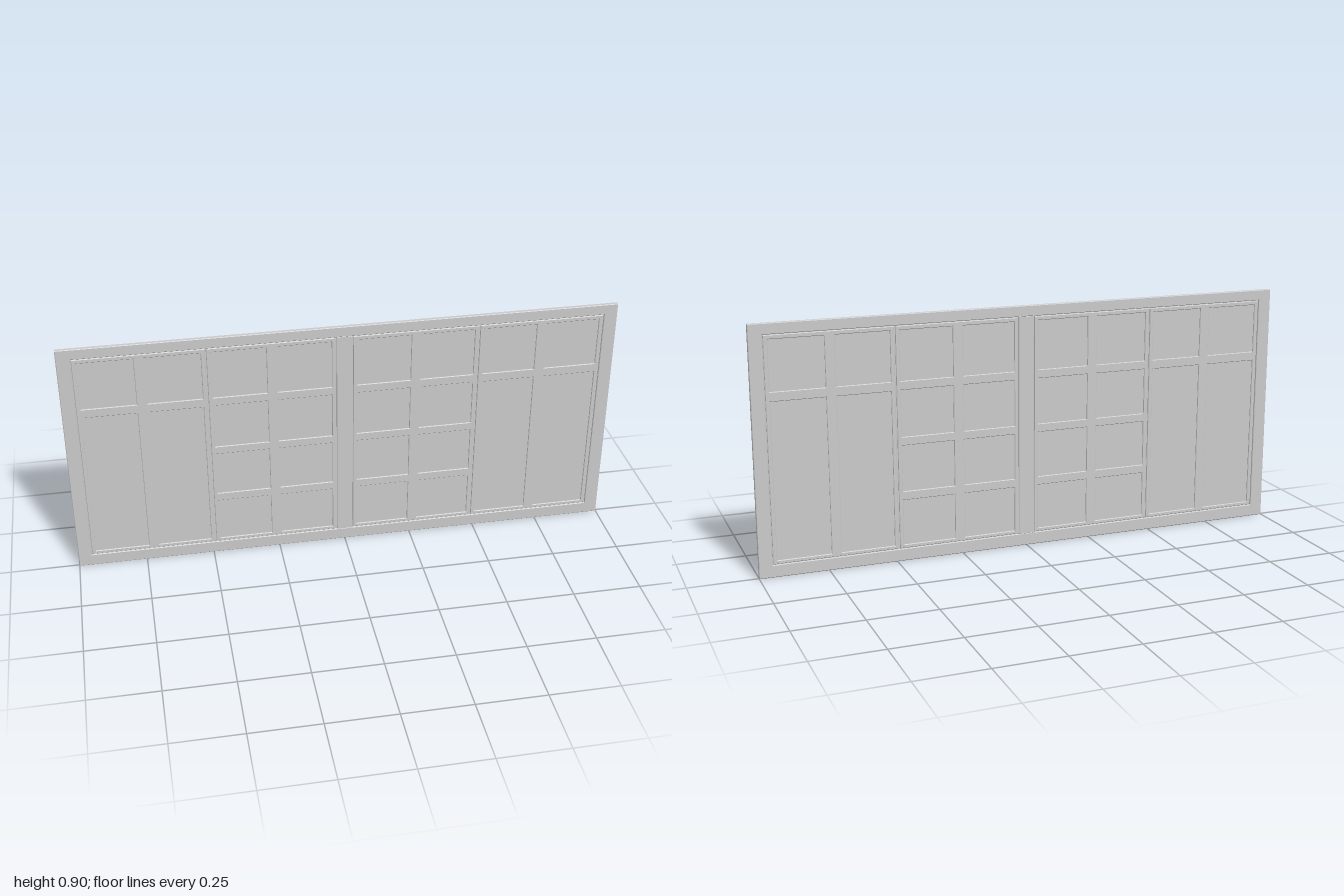
import * as THREE from 'three';

const material = new THREE.MeshStandardMaterial({ color: 0xcccccc, flatShading: true });

function trace(path, [x0, x1, y0, y1]) {
  path.moveTo(x0, y0);
  path.lineTo(x1, y0);
  path.lineTo(x1, y1);
  path.lineTo(x0, y1);
  path.closePath();
  return path;
}

// Chamfered slab centred on z = 0; rectangles are [x0, x1, y0, y1]
function slab(name, rect, holes, thickness, bevel) {
  const shape = trace(new THREE.Shape(), rect);
  for (const hole of holes) shape.holes.push(trace(new THREE.Path(), hole));
  const depth = thickness - 2 * bevel;
  const geometry = new THREE.ExtrudeGeometry(shape, {
    depth, bevelEnabled: true, bevelThickness: bevel, bevelSize: bevel,
    bevelOffset: -bevel, bevelSegments: 1,
  });
  geometry.translate(0, 0, -depth / 2);
  const mesh = new THREE.Mesh(geometry, material);
  mesh.name = name;
  return mesh;
}

// Sash with two columns of panes and the given rows of panes
function makeSash(name, x0, x1, rows) {
  const group = new THREE.Group();
  group.name = name;
  const stile = 0.017, bar = 0.037;
  const paneWidth = (x1 - x0 - 2 * stile - bar) / 2;
  const panes = [];
  for (let column = 0; column < 2; column++) {
    const left = x0 + stile + column * (paneWidth + bar);
    for (const [bottom, top] of rows) panes.push([left, left + paneWidth, bottom, top]);
  }
  group.add(slab(name + 'Frame', [x0 + 0.002, x1 - 0.002, 0.047, 0.861], panes, 0.0135, 0.002));
  // Recessed panes, let slightly into the sash
  for (const [l, r, b, t] of panes) {
    const pane = new THREE.Mesh(new THREE.BoxGeometry(r - l + 0.006, t - b + 0.006, 0.005), material);
    pane.position.set((l + r) / 2, (b + t) / 2, 0);
    pane.name = 'pane';
    group.add(pane);
  }
  return group;
}

export function createModel() {
  const model = new THREE.Group();
  model.name = 'panelledWindow';

  // Outer frame and central post
  model.add(slab('outerFrame', [-1, 1, 0, 0.902], [[-0.951, 0.951, 0.045, 0.863]], 0.0155, 0.002));
  model.add(slab('centrePost', [-0.029, 0.029, 0.044, 0.864], [], 0.0145, 0.0015));

  // Two-row outer sashes and four-row inner sashes
  const outerRows = [[0.06, 0.63], [0.664, 0.846]];
  const innerRows = [[0.06, 0.228], [0.26, 0.43], [0.461, 0.632], [0.664, 0.846]];
  model.add(makeSash('rightOuterSash', -0.951, -0.49, outerRows));
  model.add(makeSash('rightInnerSash', -0.49, -0.029, innerRows));
  model.add(makeSash('leftInnerSash', 0.029, 0.49, innerRows));
  model.add(makeSash('leftOuterSash', 0.49, 0.951, outerRows));

  // Thin core closing the joints between sashes and frame
  const core = new THREE.Mesh(new THREE.BoxGeometry(1.91, 0.826, 0.004), material);
  core.position.y = 0.454;
  core.name = 'core';
  model.add(core);
  return model;
}
